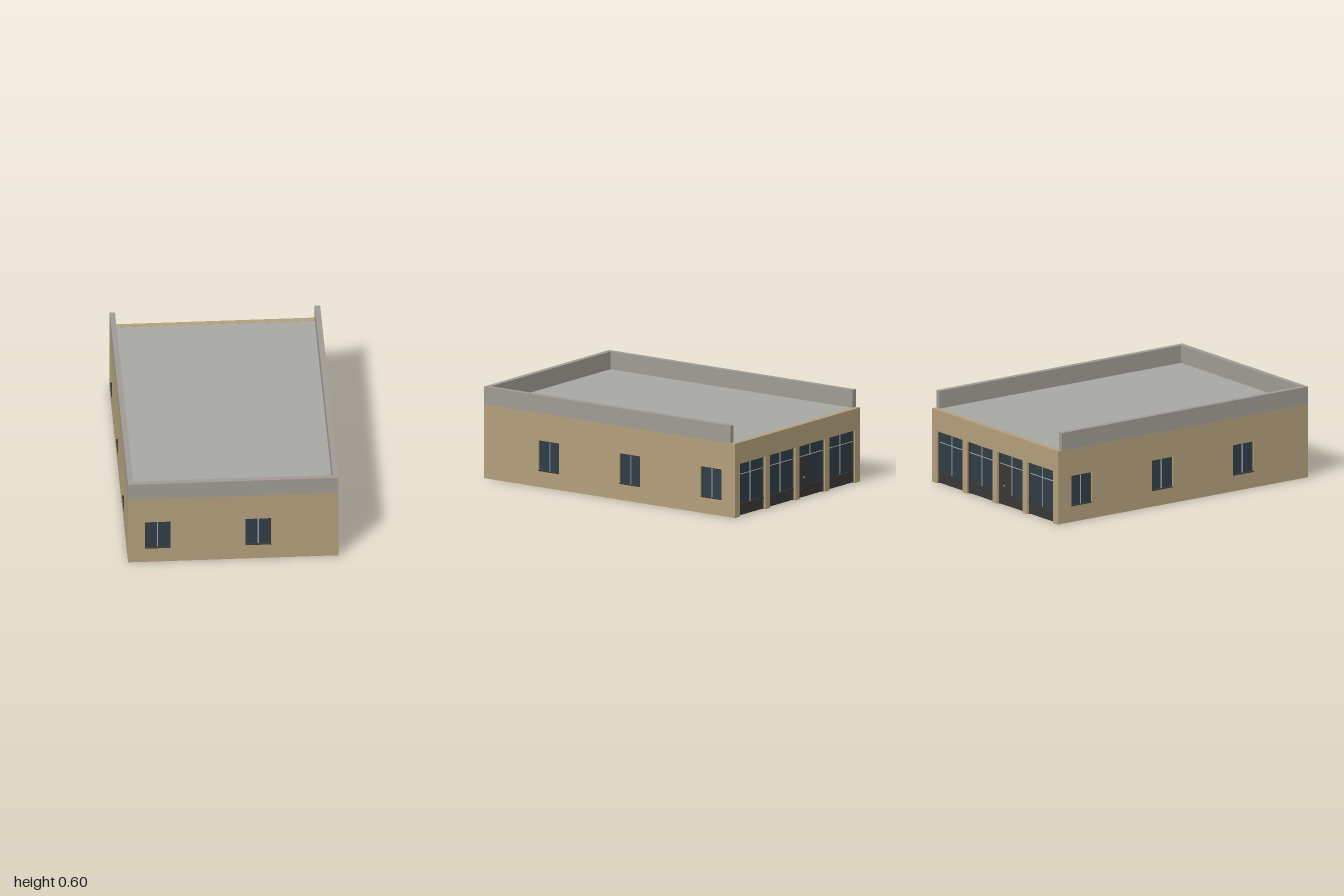
import * as THREE from 'three';

const mat = (color) => new THREE.MeshStandardMaterial({ color });
const M = {
  wall: mat(0xb39f7b), parapet: mat(0x9f9a93), roof: mat(0xa6a7a2),
  glass: mat(0x2f3d46), frame: mat(0x3a3836), bar: mat(0x9fa3a3),
};

const HW = 0.675, T = 0.035, H = 0.485, TOP = 0.6;
const FRONT = 0.997, BACK = -1;
const WIN = { w: 0.165, y0: 0.105, y1: 0.305 };

// box given by its limits
function box(parent, name, material, x0, x1, y0, y1, z0, z1) {
  const mesh = new THREE.Mesh(new THREE.BoxGeometry(x1 - x0, y1 - y0, z1 - z0), material);
  mesh.position.set((x0 + x1) / 2, (y0 + y1) / 2, (z0 + z1) / 2);
  mesh.name = name;
  parent.add(mesh);
  return mesh;
}

// wall slab with its outer face on local z = 0; openings are [x0, x1, y0, y1]
function wall(parent, name, x0, x1, openings) {
  const shape = new THREE.Shape();
  shape.moveTo(x0, 0);
  // openings that reach the ground notch the outline
  for (const [a, b, y0, y1] of openings) {
    if (y0 > 0) continue;
    shape.lineTo(a, 0); shape.lineTo(a, y1); shape.lineTo(b, y1); shape.lineTo(b, 0);
  }
  shape.lineTo(x1, 0); shape.lineTo(x1, H); shape.lineTo(x0, H); shape.closePath();
  for (const [a, b, y0, y1] of openings) {
    if (y0 <= 0) continue;
    const hole = new THREE.Path();
    hole.moveTo(a, y0); hole.lineTo(a, y1); hole.lineTo(b, y1); hole.lineTo(b, y0); hole.closePath();
    shape.holes.push(hole);
  }
  const geo = new THREE.ExtrudeGeometry(shape, { depth: T, bevelEnabled: false });
  geo.translate(0, 0, -T);
  const mesh = new THREE.Mesh(geo, M.wall);
  mesh.name = name;
  parent.add(mesh);
}

// two-pane window with a thin frame, centre bar and sill
function sashWindow(parent, cx) {
  const g = new THREE.Group();
  g.name = 'window';
  g.position.x = cx;
  const h = WIN.w / 2, f = 0.005, { y0, y1 } = WIN;
  box(g, 'windowGlass', M.glass, -h, h, y0, y1, -0.024, -0.014);
  for (const s of [-1, 1]) {
    const x = s * (h - f / 2);
    box(g, 'windowJamb', M.frame, x - f / 2, x + f / 2, y0, y1, -0.028, -0.01);
  }
  box(g, 'windowHead', M.frame, -h, h, y1 - f, y1, -0.028, -0.01);
  box(g, 'windowBar', M.bar, -0.0035, 0.0035, y0, y1 - f, -0.028, -0.01);
  box(g, 'windowSill', M.frame, -h, h, y0 - 0.001, y0 + 0.004, -0.028, 0.003);
  parent.add(g);
}

// plain wall pierced by windows at the given centres
function windowWall(name, x0, x1, centres) {
  const g = new THREE.Group();
  g.name = name;
  wall(g, name + 'Panel', x0, x1, centres.map((c) => [c - WIN.w / 2, c + WIN.w / 2, WIN.y0, WIN.y1]));
  centres.forEach((c) => sashWindow(g, c));
  return g;
}

// glazed shop bay, optionally with a door in its left half
function shopBay(parent, cx, w, top, hasDoor) {
  const g = new THREE.Group();
  g.name = hasDoor ? 'entranceBay' : 'shopBay';
  g.position.x = cx;
  const h = w / 2, f = 0.007, kick = 0.075, rail = 0.27;
  box(g, 'bayGlass', M.glass, -h, h, kick, top, -0.027, -0.021);
  box(g, 'kickPanel', M.frame, -h, h, 0.003, kick, -0.03, -0.016);
  box(g, 'kickRail', M.frame, -h, h, kick - 0.006, kick + 0.002, -0.031, -0.012);
  for (const s of [-1, 1]) {
    const x = s * (h - f / 2);
    box(g, 'bayJamb', M.frame, x - f / 2, x + f / 2, 0, top, -0.031, -0.014);
  }
  box(g, 'bayHead', M.frame, -h, h, top - f, top, -0.031, -0.014);
  box(g, 'transomBar', M.bar, -h + f, h - f, rail - 0.002, rail + 0.002, -0.03, -0.016);
  box(g, 'mullion', M.bar, -0.002, 0.002, kick, top - f, -0.03, -0.016);
  if (hasDoor) {
    box(g, 'door', M.frame, -h + f, -0.003, 0.003, rail - 0.004, -0.03, -0.015);
    const knob = new THREE.Mesh(new THREE.SphereGeometry(0.005, 12, 8), M.bar);
    knob.name = 'doorKnob';
    knob.position.set(-h * 0.55, 0.13, -0.012);
    g.add(knob);
  }
  parent.add(g);
}

export function createModel() {
  const model = new THREE.Group();
  model.name = 'shopBuilding';

  // front wall
  const front = windowWall('frontWall', -HW, HW, [-0.485, 0.16]);
  front.position.z = FRONT;
  model.add(front);

  // side walls, windows mirrored across the building
  const sideZ = [0.48, -0.165, -0.81];
  for (const s of [-1, 1]) {
    const ends = [-s * (FRONT - T), -s * (BACK + T)].sort((a, b) => a - b);
    const side = windowWall(s > 0 ? 'leftWall' : 'rightWall', ends[0], ends[1], sideZ.map((z) => -s * z));
    side.position.x = s * HW;
    side.rotation.y = s * Math.PI / 2;
    model.add(side);
  }

  // back wall with four glazed bays
  const back = new THREE.Group();
  back.name = 'shopFront';
  const bayW = 0.275, bayTop = 0.345;
  const bays = [-0.484, -0.161, 0.161, 0.484];
  wall(back, 'shopFrontPanel', -HW, HW, bays.map((c) => [c - bayW / 2, c + bayW / 2, 0, bayTop]));
  bays.forEach((c, i) => shopBay(back, c, bayW, bayTop, i === 2));
  back.position.z = BACK;
  back.rotation.y = Math.PI;
  model.add(back);

  // flat roof slab
  box(model, 'roof', M.roof, -HW + T, HW - T, 0.465, H - 0.001, BACK + T, FRONT - T);

  // parapet on the front and both sides, open at the back
  box(model, 'frontParapet', M.parapet, -HW, HW, H, TOP, FRONT - T, FRONT);
  box(model, 'leftParapet', M.parapet, HW - T, HW, H, TOP, BACK + T, FRONT - T);
  box(model, 'rightParapet', M.parapet, -HW, -HW + T, H, TOP, BACK + T, FRONT - T);

  return model;
}
